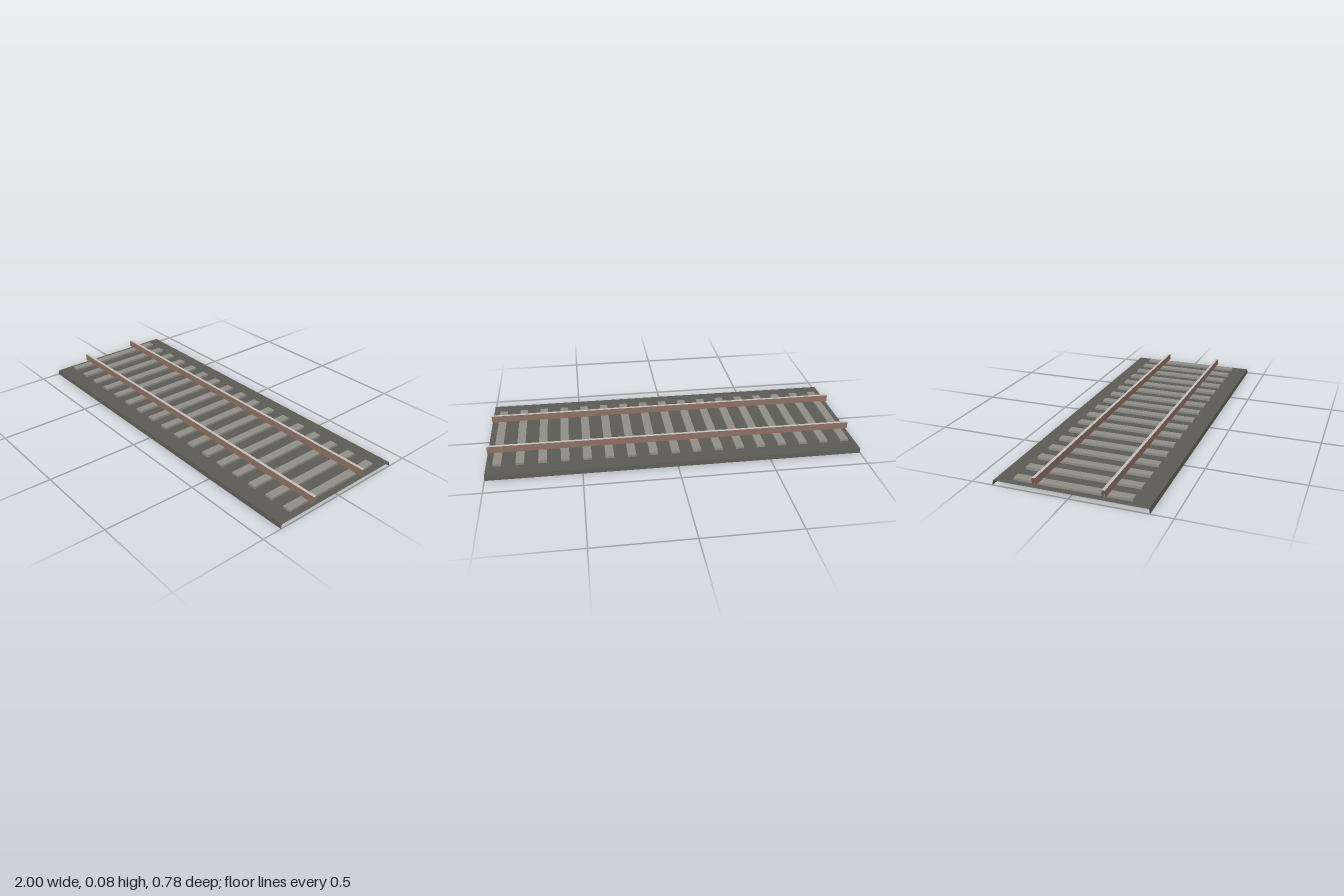
import * as THREE from 'three';

// Open sheet: sweeps a [z, y] profile along the full length in x, no end caps
function sweep(profile, material, name) {
  const pos = [];
  for (let i = 0; i < profile.length - 1; i++) {
    const [z0, y0] = profile[i], [z1, y1] = profile[i + 1];
    pos.push(-1, y0, z0, 1, y0, z0, 1, y1, z1, -1, y0, z0, 1, y1, z1, -1, y1, z1);
  }
  const g = new THREE.BufferGeometry();
  g.setAttribute('position', new THREE.Float32BufferAttribute(pos, 3));
  g.computeVertexNormals();
  const mesh = new THREE.Mesh(g, material);
  mesh.name = name;
  return mesh;
}

export function createModel() {
  const group = new THREE.Group();
  group.name = 'railwayTrack';
  const mat = (name, color) => {
    const m = new THREE.MeshStandardMaterial({ color, side: THREE.DoubleSide });
    m.name = name;
    return m;
  };
  const gravel = mat('gravel', 0x5c5b55);
  const concrete = mat('concrete', 0x908e87);
  const rust = mat('rust', 0x8f7262);
  const steel = mat('steel', 0xc2c1bf);

  // Ballast bed: thin top sheet with a skirt along each long side
  group.add(sweep([[0.39, 0], [0.386, 0.0245], [-0.386, 0.0245], [-0.39, 0]], gravel, 'ballast'));

  // Sleepers, slightly sunk into the bed
  const sleeperGeo = new THREE.BoxGeometry(0.045, 0.014, 0.595);
  for (let i = 0; i < 17; i++) {
    const s = new THREE.Mesh(sleeperGeo, concrete);
    s.name = 'sleeper';
    s.position.set((i - 8) * 0.1177, 0.03, 0);
    group.add(s);
  }

  // Two rails: rusty sides with a polished running surface
  for (const side of [1, -1]) {
    const rail = new THREE.Group();
    rail.name = side > 0 ? 'frontRail' : 'backRail';
    const w = 0.008, base = 0.0375, top = 0.075;
    rail.add(
      sweep([[w, base], [w, top]], rust, 'railFrontSide'),
      sweep([[w, top], [-w, top]], steel, 'railTop'),
      sweep([[-w, top], [-w, base]], rust, 'railBackSide'),
    );
    rail.position.z = side * 0.172;
    group.add(rail);
  }
  return group;
}
